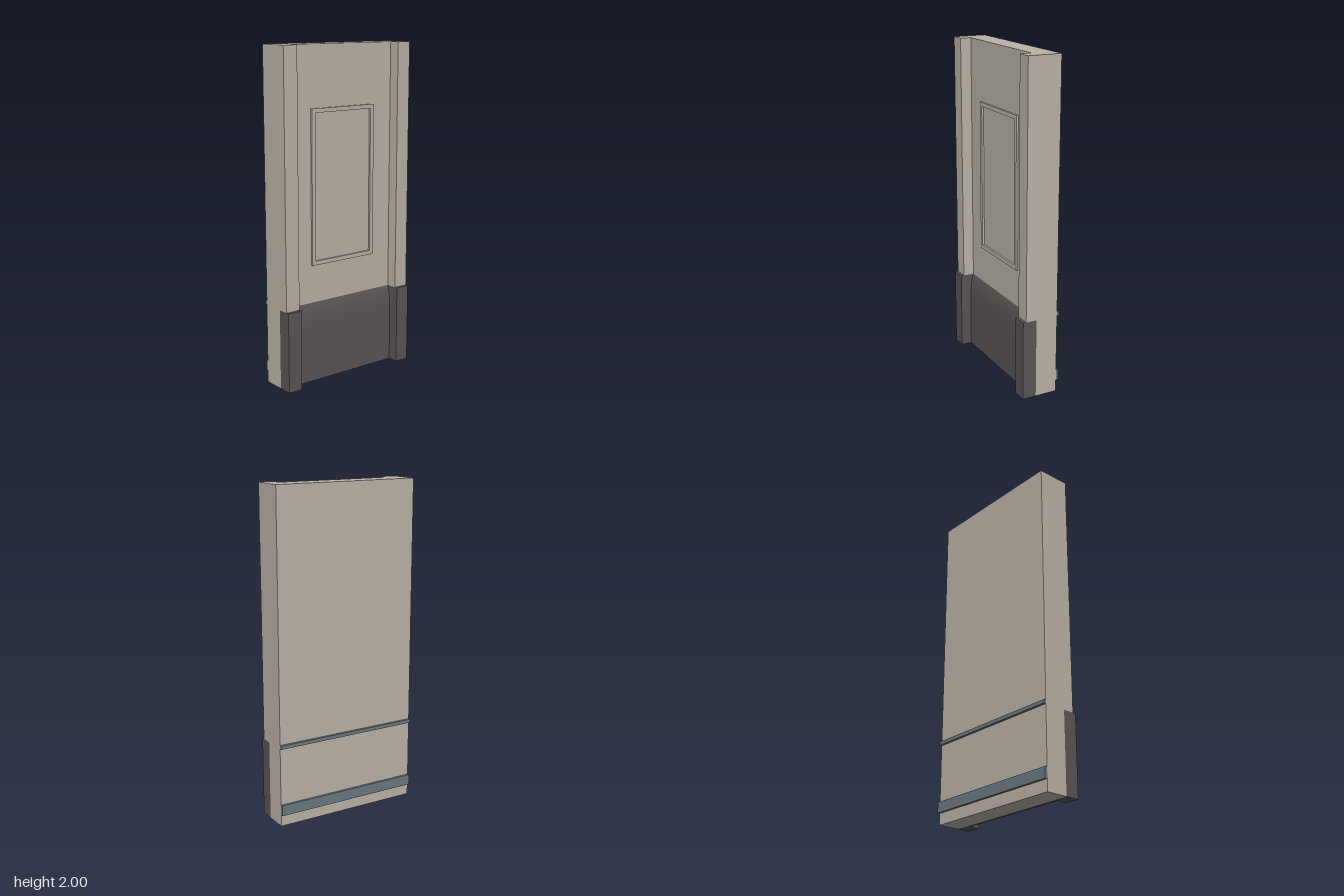
import * as THREE from 'three';

export function createModel() {
  const model = new THREE.Group();
  const mat = (name, color) => {
    const m = new THREE.MeshStandardMaterial({ color });
    m.name = name;
    return m;
  };
  const plaster = mat('warm plaster', 0xbcb4a8);
  const dark = mat('dark wainscot', 0x5c5555);
  const steel = mat('blue grey rail', 0x6c7a82);

  const W = 0.458, INNER = 0.367, BACK = -0.104, RECESS = 0.032, BASE = 0.485;

  const add = (name, geometry, material) => {
    const mesh = new THREE.Mesh(geometry, material);
    mesh.name = name;
    model.add(mesh);
    return mesh;
  };
  // Box given by its minimum and maximum corners
  const box = (name, material, [x0, y0, z0], [x1, y1, z1]) =>
    add(name, new THREE.BoxGeometry(x1 - x0, y1 - y0, z1 - z0), material)
      .position.set((x0 + x1) / 2, (y0 + y1) / 2, (z0 + z1) / 2);

  // Upper wall: one plan outline with a pilaster at each side
  const plan = new THREE.Shape([
    [-W, BACK], [W, BACK], [W, 0.1], [INNER, 0.1],
    [INNER, RECESS], [-INNER, RECESS], [-INNER, 0.1], [-W, 0.1],
  ].map(([x, z]) => new THREE.Vector2(x, -z)));
  const wall = new THREE.ExtrudeGeometry(plan, { depth: 2 - BASE, bevelEnabled: false });
  wall.rotateX(-Math.PI / 2);
  add('upperWall', wall, plaster).position.y = BASE;

  // Lower wall behind the wainscot
  box('lowerWall', plaster, [-W, 0, BACK], [W, BASE, RECESS]);

  // Plinth blocks around the pilaster feet
  for (const s of [-1, 1]) {
    const xs = [s * INNER, s * W].sort((a, b) => a - b);
    box(s < 0 ? 'rightPlinth' : 'leftPlinth', dark, [xs[0], 0, RECESS], [xs[1], BASE, 0.119]);
  }

  // Wainscot panel in the recess, curving back to the wall at its top
  const profile = new THREE.Shape();
  profile.moveTo(-RECESS, 0);
  profile.lineTo(-RECESS, BASE);
  profile.quadraticCurveTo(-0.052, 0.43, -0.053, 0.3);
  profile.lineTo(-0.053, 0);
  const panel = new THREE.ExtrudeGeometry(profile, { depth: 2 * INNER, bevelEnabled: false, curveSegments: 8 });
  panel.rotateY(Math.PI / 2);
  // the profile's -x axis now points to +z
  panel.translate(-INNER, 0, 0);
  add('wainscotPanel', panel, dark);

  // Raised picture moulding
  const rect = (Type, w, y0, y1) => new Type([
    new THREE.Vector2(-w, y0), new THREE.Vector2(w, y0),
    new THREE.Vector2(w, y1), new THREE.Vector2(-w, y1),
  ]);
  const frame = rect(THREE.Shape, 0.229, 0.714, 1.637);
  frame.holes.push(rect(THREE.Path, 0.204, 0.739, 1.612));
  const moulding = new THREE.ExtrudeGeometry(frame, { depth: 0.012, bevelEnabled: false });
  add('panelMoulding', moulding, plaster).position.z = RECESS;

  // Rails across the back
  box('upperBackRail', steel, [-W, 0.486, -0.119], [W, 0.508, BACK]);
  box('lowerBackRail', steel, [-W, 0.07, -0.119], [W, 0.135, BACK]);

  return model;
}
